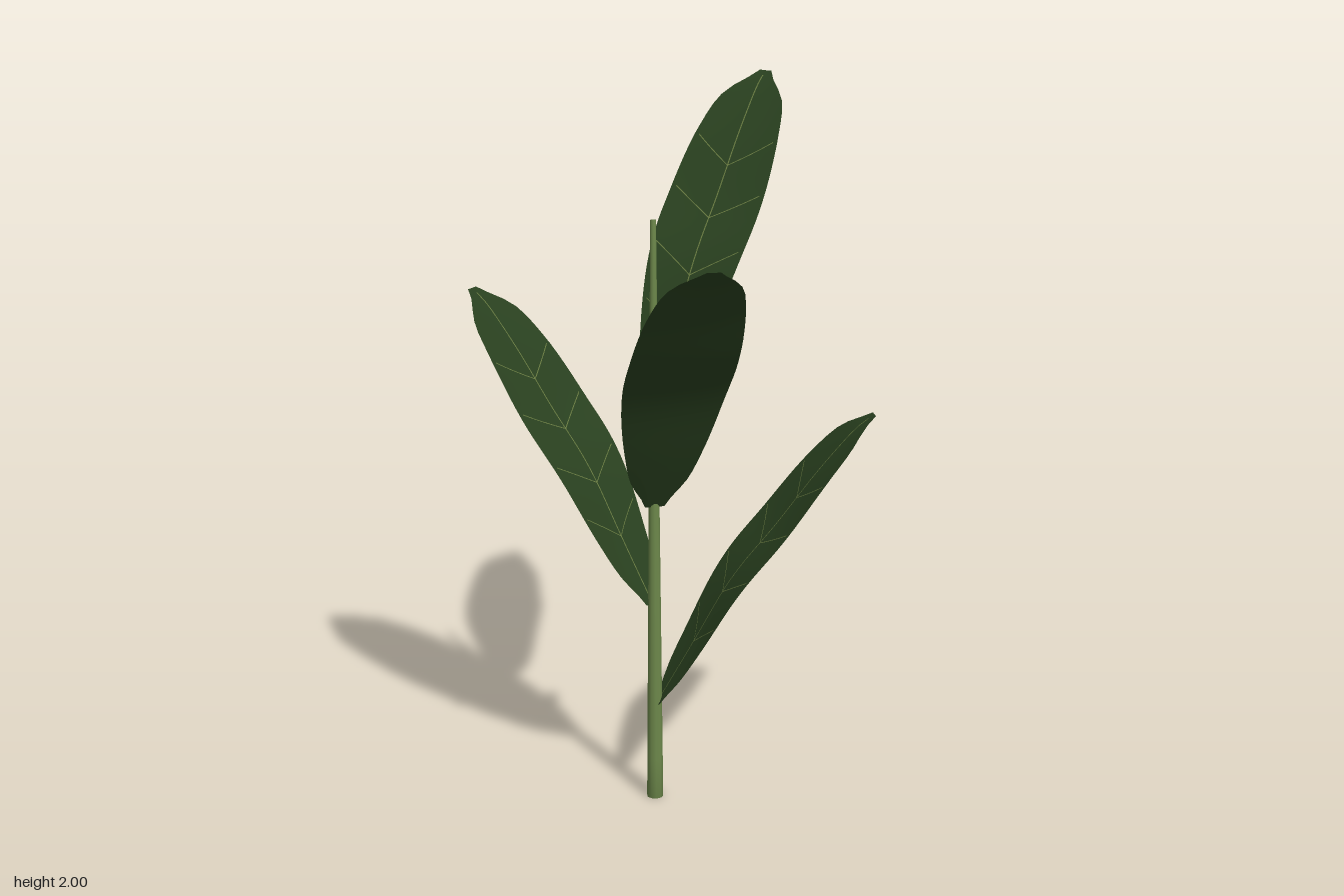
import * as THREE from 'three';

const mat = (name, color, side = THREE.FrontSide) => {
  const m = new THREE.MeshStandardMaterial({ color, side });
  m.name = name;
  return m;
};

// Leaf midline (x = reach from the stem, y = rise) and half widths at equal steps
const midline = new THREE.CatmullRomCurve3(
  [[0.008, -0.008], [0.11, 0.165], [0.2, 0.322], [0.25, 0.393], [0.345, 0.505], [0.454, 0.645], [0.52, 0.722], [0.575, 0.78], [0.623, 0.815]]
    .map(([x, y]) => new THREE.Vector3(x, y, 0)));
const widths = [0.028, 0.08, 0.107, 0.127, 0.141, 0.149, 0.148, 0.141, 0.126, 0.097, 0.018];
const outline = new THREE.SplineCurve(widths.map((w, i) => new THREE.Vector2(i / 10, w)));
const halfWidth = (t) => outline.getPoint(t).y;

// Point on the leaf blade: t along it, s from -1 to 1 across it, lifted along the normal
function bladePoint(t, s, lift = 0) {
  t = THREE.MathUtils.clamp(t, 0, 1);
  const p = midline.getPointAt(t);
  const d = midline.getTangentAt(t);
  const w = halfWidth(t);
  const up = lift + 0.05 * w * s * s;
  return new THREE.Vector3(p.x - d.y * up, p.y + d.x * up, s * w);
}

// Surface grid from a function of u and v
function grid(nu, nv, f) {
  const pos = [], index = [];
  for (let i = 0; i <= nu; i++) {
    for (let j = 0; j <= nv; j++) {
      pos.push(...f(i / nu, j / nv).toArray());
      if (i < nu && j < nv) {
        const a = i * (nv + 1) + j, b = a + nv + 1;
        index.push(a, a + 1, b, b, a + 1, b + 1);
      }
    }
  }
  const g = new THREE.BufferGeometry();
  g.setAttribute('position', new THREE.Float32BufferAttribute(pos, 3));
  g.setIndex(index);
  g.computeVertexNormals();
  return g;
}

export function createModel() {
  const model = new THREE.Group();
  model.name = 'plant';
  const leafGreen = mat('leaf green', 0x29401f, THREE.DoubleSide);
  const veinGreen = mat('vein green', 0x66783f, THREE.DoubleSide);
  const stemGreen = mat('stem green', 0x6d884b);

  const add = (parent, name, geometry, material) => {
    const m = new THREE.Mesh(geometry, material);
    m.name = name;
    parent.add(m);
    return m;
  };

  // Tapered stem, closed and softly shaded at both ends
  const plant = new THREE.Group();
  plant.name = 'stemAndLeaves';
  plant.position.set(-0.076, 0, -0.06);
  model.add(plant);
  const stemProfile = [new THREE.Vector2(0, 0)];
  for (let i = 0; i <= 14; i++) {
    stemProfile.push(new THREE.Vector2(THREE.MathUtils.lerp(0.0235, 0.008, i / 14), 1.695 * i / 14));
  }
  stemProfile.push(new THREE.Vector2(0, 1.695));
  add(plant, 'stem', new THREE.LatheGeometry(stemProfile, 10), stemGreen);

  // Shared leaf geometries
  const blade = grid(30, 8, (u, v) => bladePoint(u, v * 2 - 1));
  const midrib = grid(30, 1, (u, v) => {
    const t = 0.02 + u * 0.96;
    return bladePoint(t, (v - 0.5) * 0.0035 / halfWidth(t), 0.0012);
  });
  const sideVeins = [];
  for (const t0 of [0.2, 0.36, 0.53, 0.69]) {
    for (const side of [-1, 1]) {
      sideVeins.push(grid(8, 1, (u, v) =>
        bladePoint(t0 + 0.08 * u + (v - 0.5) * 0.003, side * 0.9 * u, 0.001)));
    }
  }

  // Leaves spiral up the stem: [height, turn in degrees]
  [[0.3, 1.4], [0.6, 137.8], [0.89, 276.1], [1.185, 51.2]].forEach(([y, turn], i) => {
    const leaf = new THREE.Group();
    leaf.name = `leaf${i + 1}`;
    leaf.position.y = y;
    leaf.rotation.y = THREE.MathUtils.degToRad(turn);
    add(leaf, 'blade', blade, leafGreen);
    add(leaf, 'midrib', midrib, veinGreen);
    sideVeins.forEach((g) => add(leaf, 'sideVein', g, veinGreen));
    plant.add(leaf);
  });

  return model;
}
